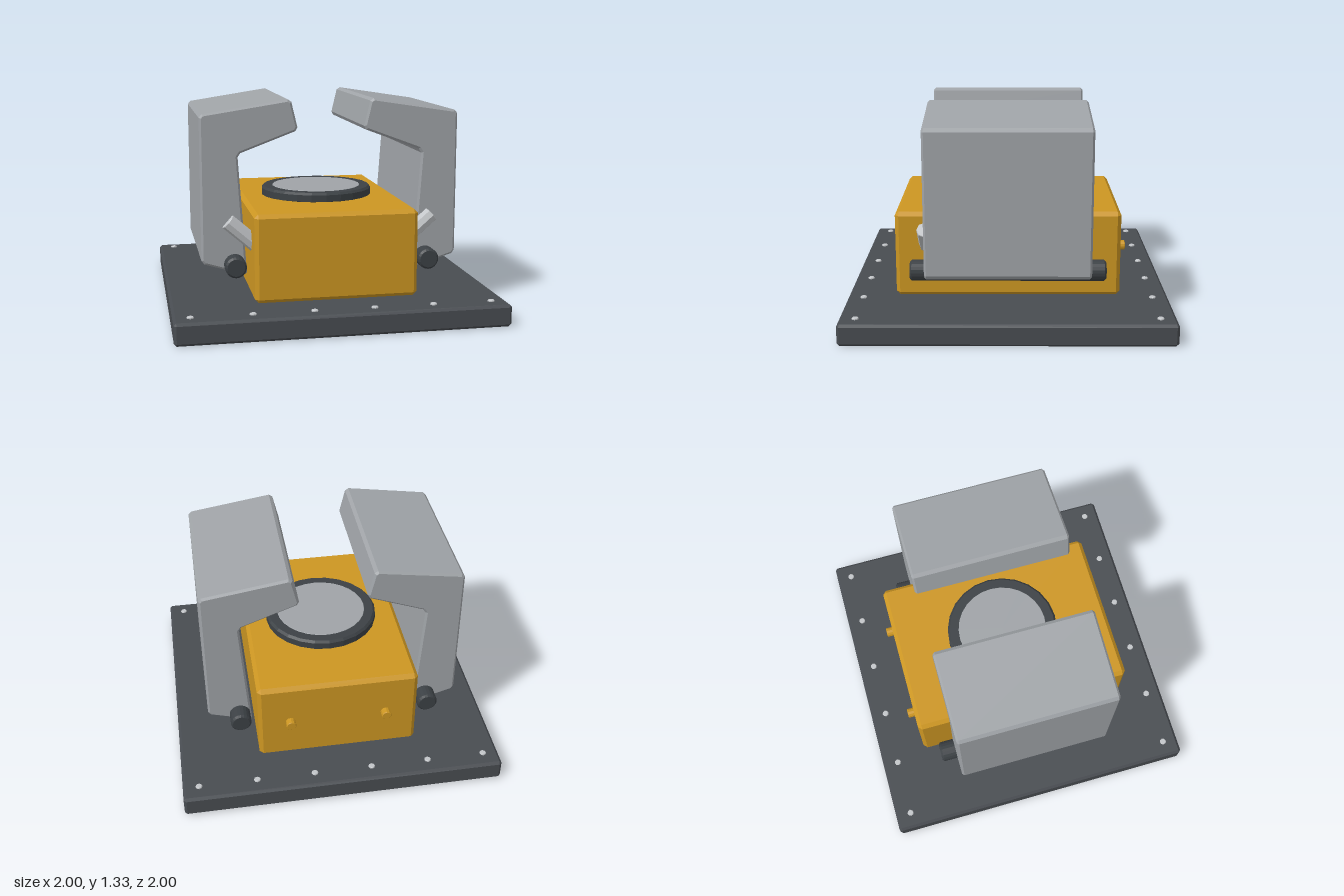
import * as THREE from 'three';
import { ConvexGeometry } from 'three/addons/geometries/ConvexGeometry.js';

const mat = (name, color) => {
  const m = new THREE.MeshStandardMaterial({ color });
  m.name = name;
  return m;
};

// Box with all edges chamfered by c
function chamferBox(w, h, d, c) {
  const half = [w / 2, h / 2, d / 2];
  const points = [];
  for (const sx of [-1, 1]) for (const sy of [-1, 1]) for (const sz of [-1, 1])
    for (let axis = 0; axis < 3; axis++) {
      const p = half.map((v, i) => (i === axis ? v : v - c));
      points.push(new THREE.Vector3(sx * p[0], sy * p[1], sz * p[2]));
    }
  return new ConvexGeometry(points);
}

// Faceted cylinder along y with chamfered rims
function chamferCylinder(r, h, c, sides) {
  const profile = [[0, -h / 2], [r - c, -h / 2], [r, -h / 2 + c], [r, h / 2 - c], [r - c, h / 2], [0, h / 2]];
  const g = new THREE.LatheGeometry(profile.map(([x, y]) => new THREE.Vector2(x, y)), sides).toNonIndexed();
  g.computeVertexNormals();
  return g;
}

// Polygon with every corner trimmed by distance c
function trimmedShape(corners, c) {
  const v = corners.map(([x, y]) => new THREE.Vector2(x, y));
  const points = [];
  v.forEach((p, i) => {
    for (const q of [v[(i + v.length - 1) % v.length], v[(i + 1) % v.length]])
      points.push(p.clone().add(q.clone().sub(p).setLength(c)));
  });
  return new THREE.Shape(points);
}

export function createModel() {
  const model = new THREE.Group();
  const dark = mat('dark steel', 0x484c51);
  const black = mat('black steel', 0x3c4145);
  const grey = mat('grey metal', 0x9fa3a7);
  const light = mat('bright metal', 0xc2c5c8);
  const yellow = mat('safety yellow', 0xcc9622);

  const add = (name, geometry, material, x, y, z, parent = model) => {
    const mesh = new THREE.Mesh(geometry, material);
    mesh.name = name;
    mesh.position.set(x, y, z);
    parent.add(mesh);
    return mesh;
  };

  // Base plate and its two rows of bolts
  add('basePlate', chamferBox(2, 0.136, 2, 0.016), dark, 0, 0.068, 0);
  const bolt = chamferCylinder(0.021, 0.04, 0.004, 8);
  for (const z of [-0.9, 0.9])
    for (let i = 0; i < 6; i++) add('bolt', bolt, light, -0.9 + i * 0.36, 0.126, z);

  // Housing with a round pad on top
  add('housing', chamferBox(1, 0.54, 1.4, 0.024), yellow, 0, 0.405, 0);
  add('padRing', chamferCylinder(0.36, 0.07, 0.014, 24), black, 0, 0.697, 0);
  add('padDisc', chamferCylinder(0.29, 0.05, 0.004, 28), grey, 0, 0.709, 0);

  // Rear connectors
  for (const x of [-0.3, 0.3])
    add('rearConnector', chamferCylinder(0.031, 0.08, 0.004, 12), yellow, x, 0.405, -0.705).rotation.x = Math.PI / 2;

  // Clamp jaws with hinge pins and actuator rods, one per side
  const profile = [[0.8, 1.252], [0.248, 1.337], [0.203, 1.148], [0.573, 1.01], [0.522, 0.262], [0.8, 0.346]];
  const bevel = 0.013;
  for (const side of [1, -1]) {
    const clamp = new THREE.Group();
    clamp.name = side > 0 ? 'leftClamp' : 'rightClamp';
    model.add(clamp);

    const jaw = new THREE.ExtrudeGeometry(trimmedShape(profile.map(([x, y]) => [side * x, y]), 0.018), {
      depth: 1 - 2 * bevel, bevelEnabled: true, bevelThickness: bevel,
      bevelSize: bevel, bevelOffset: -bevel, bevelSegments: 1,
    });
    add('jaw', jaw, grey, 0, 0, -0.5 + bevel, clamp);

    add('hingePin', chamferCylinder(0.065, 1.2, 0.012, 20), black, side * 0.6, 0.337, 0, clamp)
      .rotation.x = Math.PI / 2;

    add('actuatorRod', chamferCylinder(0.049, 0.4, 0.004, 8), light, side * 0.49, 0.474, 0.505, clamp)
      .rotation.z = -side * 0.85;
  }
  return model;
}
